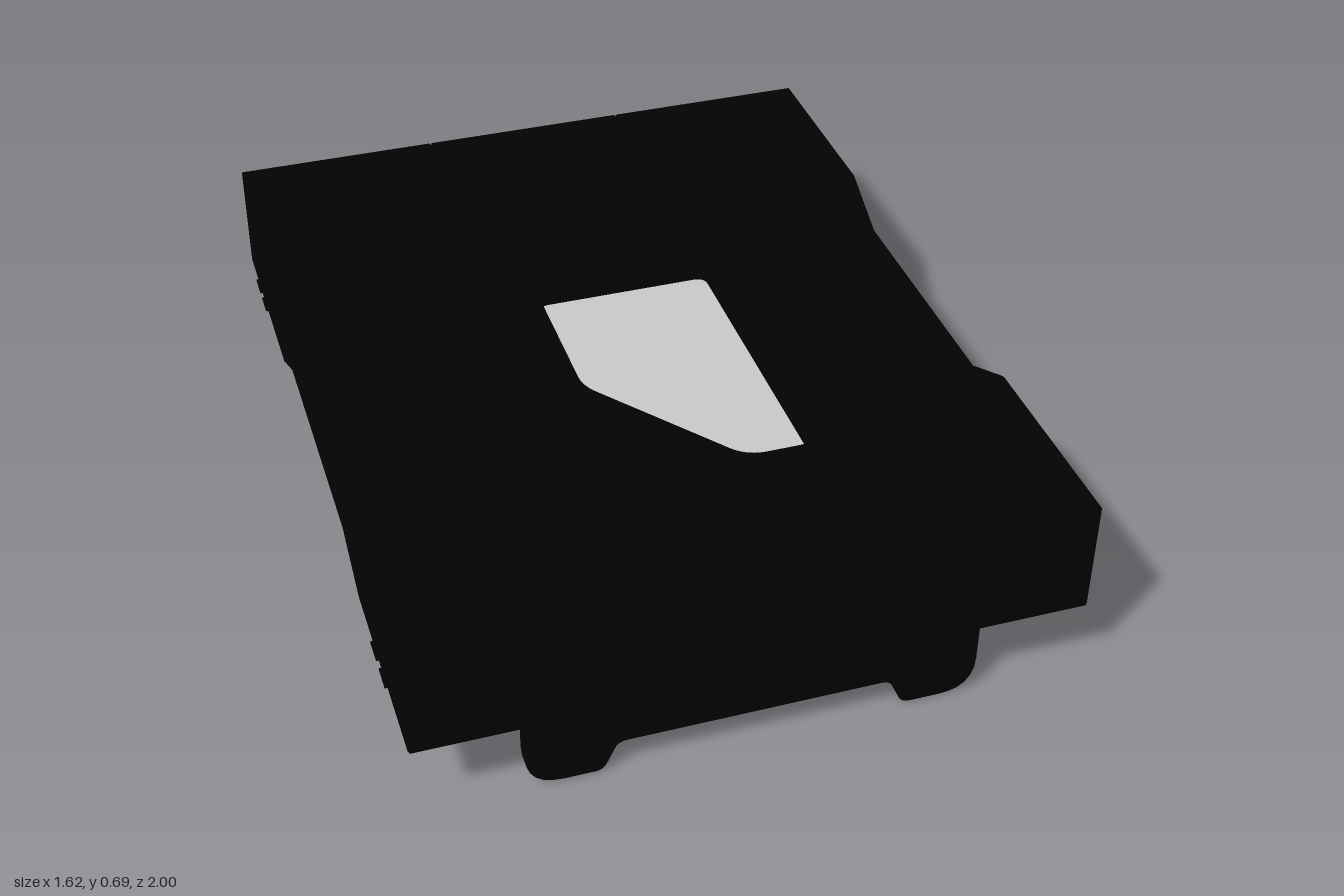
import * as THREE from 'three';

const black = new THREE.MeshStandardMaterial({ color: 0x020202 });
black.name = 'black';
const grey = new THREE.MeshStandardMaterial({ color: 0xcacaca });
grey.name = 'grey';

// Closed outline from [a, b, cornerRadius] points
function outline(points, Type = THREE.Shape) {
  const path = new Type();
  const n = points.length;
  points.forEach(([a, b, r = 0], i) => {
    const p = new THREE.Vector2(a, b);
    const toward = ([c, d]) => {
      const q = new THREE.Vector2(c, d).sub(p);
      return q.setLength(Math.min(r, q.length() / 2)).add(p);
    };
    const s = toward(points[(i + n - 1) % n]);
    const e = toward(points[(i + 1) % n]);
    if (i === 0) path.moveTo(s.x, s.y);
    else path.lineTo(s.x, s.y);
    if (r > 0) path.quadraticCurveTo(a, b, e.x, e.y);
  });
  path.closePath();
  return path;
}

function extrude(points, depth, hole, bevel = 0) {
  const shape = outline(points);
  if (hole) shape.holes.push(outline(hole, THREE.Path));
  return new THREE.ExtrudeGeometry(shape, {
    depth: depth - 2 * bevel, curveSegments: 6,
    bevelEnabled: bevel > 0, bevelSize: bevel, bevelThickness: bevel,
    bevelOffset: -bevel, bevelSegments: 1,
  }).translate(0, 0, bevel);
}

// Plan-view outline in x and z (clockwise from above), raised from y0 to y1
function slab(points, y0, y1, hole, bevel) {
  const flip = (list) => list && list.map(([x, z, r]) => [x, -z, r]).reverse();
  return extrude(flip(points), y1 - y0, flip(hole), bevel)
    .rotateX(-Math.PI / 2).translate(0, y0, 0);
}

export function createModel() {
  const model = new THREE.Group();
  model.name = 'trayUnit';
  const add = (name, geometry, material = black) => {
    const mesh = new THREE.Mesh(geometry, material);
    mesh.name = name;
    model.add(mesh);
  };
  const box = (name, x0, x1, y0, y1, z0, z1) => add(name,
    new THREE.BoxGeometry(x1 - x0, y1 - y0, z1 - z0)
      .translate((x0 + x1) / 2, (y0 + y1) / 2, (z0 + z1) / 2));

  // Rear slab in three sections, with narrow seams over a core
  for (const [x0, x1] of [[-0.8, -0.272], [-0.268, 0.268], [0.272, 0.8]]) {
    add('rearSlab', slab([[x0, -1], [x1, -1], [x1, -0.485], [x0, -0.485]], 0.2, 0.49, null, 0.003));
  }
  box('rearCore', -0.78, 0.78, 0.205, 0.485, -0.996, -0.485);

  // Side wings with a thin waist
  const wing = [
    [-0.49, 0.2], [-0.33, 0.28], [0.32, 0.28], [0.48, 0.2], [1, 0.2],
    [1, 0.49], [0.48, 0.49], [0.32, 0.41], [-0.33, 0.41], [-0.49, 0.49],
  ];
  for (const x of [-0.47, 0.8]) {
    add('sideWing', extrude(wing, 0.33, null, 0.004).rotateY(-Math.PI / 2).translate(x, 0, 0));
  }

  // Tray wall, thicker beside the front
  const wallOuter = [[-0.5, -0.5, 0.09], [0.5, -0.5, 0.09], [0.5, 0.96], [-0.5, 0.96]];
  const wallInner = [
    [-0.425, -0.435, 0.03], [0.425, -0.435, 0.03], [0.425, 0.52, 0.03], [0.36, 0.6, 0.03],
    [0.36, 0.945], [-0.36, 0.945], [-0.36, 0.6, 0.03], [-0.425, 0.52, 0.03],
  ];
  add('trayWall', slab(wallOuter, 0.1, 0.6, wallInner));

  // Mid-height floor with a cut-out, leaving a narrow slot along the left side
  const opening = [
    [-0.145, -0.33, 0.03], [0.315, -0.33, 0.03], [0.315, 0.47, 0.03],
    [0.15, 0.47, 0.05], [-0.145, 0.09, 0.04],
  ];
  add('trayFloor', slab([
    [-0.46, -0.46], [0.408, -0.46], [0.408, 0.53], [0.45, 0.53], [0.45, 0.95], [-0.46, 0.95],
  ], 0.31, 0.38, opening));

  // Low frame around the window, with the pane at its middle
  add('windowFrame', slab([
    [-0.22, -0.4, 0.07], [0.395, -0.4, 0.07], [0.395, 0.545, 0.07],
    [0.12, 0.545, 0.06], [-0.22, 0.11, 0.06],
  ], 0.3, 0.39, opening));
  add('windowPane', slab([
    [-0.16, -0.345], [0.33, -0.345], [0.33, 0.485], [0.14, 0.485], [-0.16, 0.1],
  ], 0.341, 0.349), grey);

  // Front plate with a rounded lobe at each corner
  const quarter = [[0.54, 0.69, 0.09], [0.36, 0.69, 0.02], [0.325, 0.613, 0.02]];
  const mirrorX = (list) => list.map(([x, y, r]) => [-x, y, r]).reverse();
  const topHalf = [...quarter, ...mirrorX(quarter)];
  const bottomHalf = topHalf.map(([x, y, r]) => [x, 0.69 - y, r]).reverse();
  add('frontPlate', extrude([...topHalf, ...bottomHalf], 0.05, null, 0.006).translate(0, 0, 0.938));

  for (const s of [-1, 1]) {
    // Raised pads on the front lobes
    add('lobePad', extrude([
      [-0.07, 0.1, 0.04], [0.07, 0.1, 0.04], [0.07, 0.6, 0.04], [-0.07, 0.6, 0.04],
    ], 0.02, null, 0.004).translate(s * 0.42, 0, 0.98));

    // Posts on the rear wall and pads on the side walls
    for (const [y0, y1] of [[0.09, 0.19], [0.51, 0.61]]) {
      const x = s * 0.35;
      box('rearPost', x - 0.02, x + 0.02, y0, y1, -0.503, -0.43);
    }
    for (const [y0, y1] of [[0.088, 0.11], [0.59, 0.612]]) {
      const x = s * 0.42;
      add('wallPad', slab([
        [x - 0.035, 0.61, 0.01], [x + 0.035, 0.61, 0.01],
        [x + 0.035, 0.85, 0.01], [x - 0.035, 0.85, 0.01],
      ], y0, y1));
    }

    // Small ribs on the outer sides
    for (const z of [-0.8, -0.71, 0.71, 0.8]) {
      for (const y of [0.242, 0.448]) {
        const x = s * 0.8;
        box('sideRib', x - 0.012, x + 0.012, y - 0.003, y + 0.003, z - 0.03, z + 0.03);
      }
    }
  }
  return model;
}
